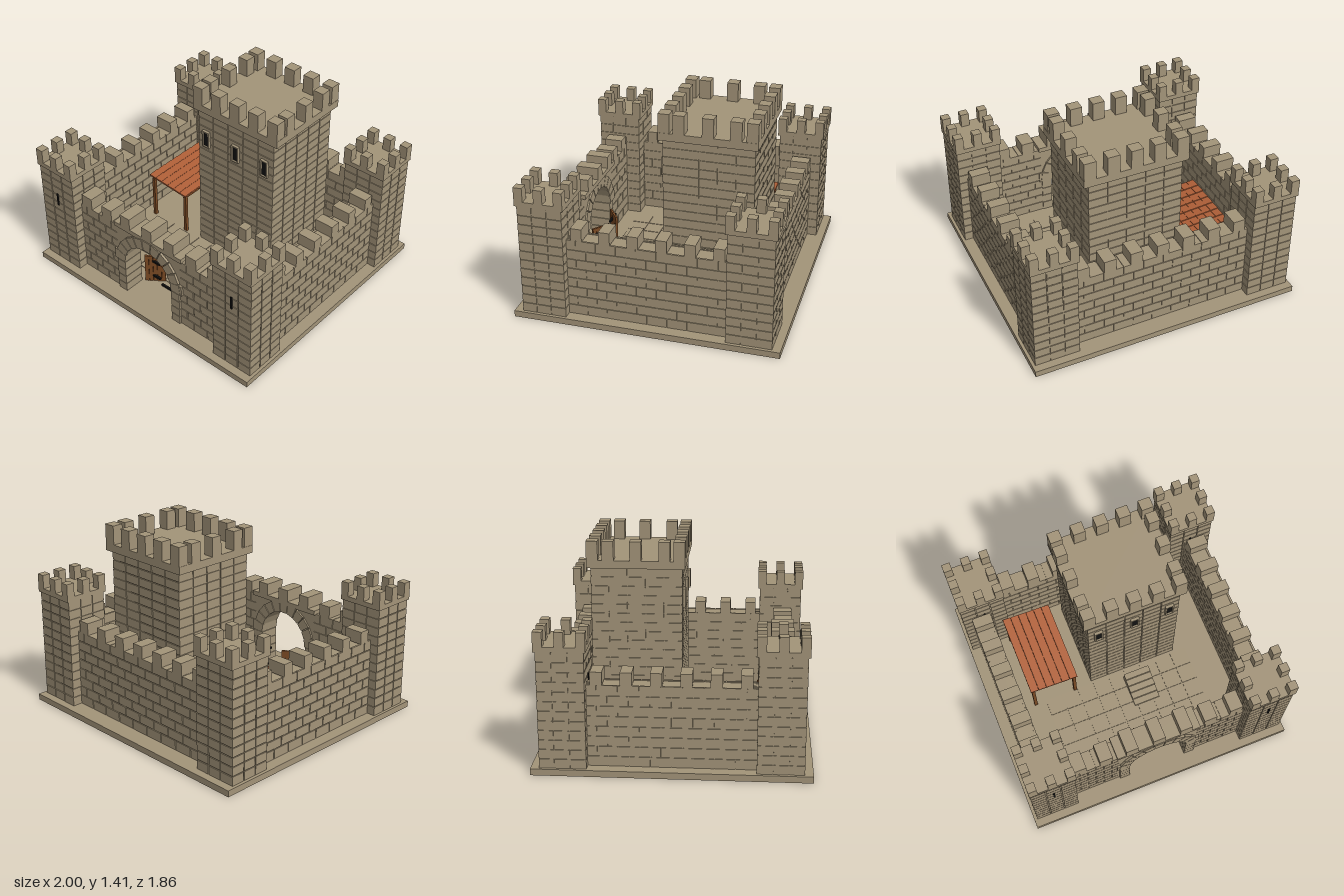
import * as THREE from 'three';
import { mergeGeometries } from 'three/addons/utils/BufferGeometryUtils.js';

const mat = (name, color) => {
  const m = new THREE.MeshStandardMaterial({ color });
  m.name = name;
  return m;
};

// Box geometry from its min and max on each axis
function span(x0, x1, y0, y1, z0, z1) {
  return new THREE.BoxGeometry(x1 - x0, y1 - y0, z1 - z0)
    .translate((x0 + x1) / 2, (y0 + y1) / 2, (z0 + z1) / 2);
}

// Perimeter stone blocks over a recessed core; bond shifts odd courses by half a block
function masonry(x0, x1, y0, y1, z0, z1, nx, ny, nz, bond = '') {
  const e = 0.006, g = 0.003, out = [span(x0 + e, x1 - e, y0, y1 - e, z0 + e, z1 - e)];
  const cuts = (a, b, n, shift) => {
    const c = [a], s = (b - a) / n;
    for (let i = 1; i <= n; i++) {
      const v = a + s * (i - (shift ? 0.5 : 0));
      if (v < b - 1e-6) c.push(v);
    }
    return [...c, b];
  };
  const h = (y1 - y0) / ny;
  for (let j = 0; j < ny; j++) {
    const cx = cuts(x0, x1, nx, bond === 'x' && j % 2), cz = cuts(z0, z1, nz, bond === 'z' && j % 2);
    for (let i = 0; i < cx.length - 1; i++) for (let k = 0; k < cz.length - 1; k++) {
      const edge = i === 0 || k === 0 || i === cx.length - 2 || k === cz.length - 2;
      if (!edge) continue;
      out.push(span(cx[i] + (i ? g : 0), cx[i + 1] - (i < cx.length - 2 ? g : 0),
        y0 + j * h + (j ? g : 0), y0 + (j + 1) * h - (j < ny - 1 ? g : 0),
        cz[k] + (k ? g : 0), cz[k + 1] - (k < cz.length - 2 ? g : 0)));
    }
  }
  return out;
}

export function createModel() {
  const root = new THREE.Group();
  root.name = 'castle';
  const stone = mat('stone', 0xa39479), wood = mat('wood', 0x7a4a24);
  const iron = mat('black iron', 0x121212), tile = mat('roof tile', 0xb06038);

  const add = (name, material, geos, parent = root) => {
    const clean = geos.map((g) => (g.index ? g.toNonIndexed() : g));
    const m = new THREE.Mesh(mergeGeometries(clean), material);
    m.name = name;
    parent.add(m);
    return m;
  };

  // Ground slab and courtyard paving
  const G = 0.045;
  add('base', stone, [span(-1, 1, 0, G, -0.93, 0.93)]);
  const paving = [];
  for (let i = 0; i < 9; i++) for (let k = 0; k < 4; k++) {
    const x = -0.6 + i * 0.128, z = 0.04 + k * 0.13;
    paving.push(span(x + 0.003, x + 0.125, G, G + 0.006, z + 0.003, z + 0.127));
  }
  add('courtyardPaving', stone, paving);

  // Corner towers
  for (const x of [-0.815, 0.815]) for (const z of [-0.715, 0.715]) {
    const tower = new THREE.Group();
    tower.name = 'cornerTower';
    tower.position.set(x, 0, z);
    root.add(tower);
    add('towerBody', stone, masonry(-0.163, 0.163, G, 0.85, -0.157, 0.157, 3, 12, 3), tower);
    const top = [span(-0.17, 0.17, 0.85, 0.885, -0.17, 0.17)];
    for (const i of [-1, 0, 1]) for (const k of [-1, 0, 1]) {
      if (!i && !k) continue;
      top.push(new THREE.BoxGeometry(0.062, 0.1, 0.062).translate(i * 0.139, 0.935, k * 0.139));
    }
    add('towerBattlement', stone, top, tower);
    add('arrowSlit', iron, [span(-0.007, 0.007, 0.56, 0.66, 0.155, 0.163)], tower);
  }

  // Side and back curtain walls with merlons
  const WT = 0.61, MT = 0.7;
  for (const s of [-1, 1]) {
    const xa = s * 0.845 - 0.07, xb = s * 0.845 + 0.07;
    add('sideWall', stone, masonry(xa, xb, G, WT, -0.56, 0.56, 8, 8, 8, 'z').concat());
    const merlons = [];
    for (let i = 0; i < 6; i++) {
      const z = 0.487 - i * 0.196;
      merlons.push(span(xa, xb, WT, MT, z - 0.039, z + 0.039));
    }
    add('sideWallMerlons', stone, merlons);
  }
  add('backWall', stone, masonry(-0.66, 0.66, G, WT, -0.8, -0.665, 9, 8, 1, 'x'));
  const backMerlons = [];
  for (let i = -3; i <= 3; i++) {
    backMerlons.push(span(i * 0.195 - 0.045, i * 0.195 + 0.045, WT, MT, -0.8, -0.665));
  }
  add('backWallMerlons', stone, backMerlons);

  // Front wall halves, gate piers and imposts
  for (const s of [-1, 1]) {
    const box = (a, b, ...r) => span(Math.min(a * s, b * s), Math.max(a * s, b * s), ...r);
    const [a, b] = s < 0 ? [-0.66, -0.295] : [0.295, 0.66];
    add('frontWall', stone, masonry(a, b, G, WT, 0.665, 0.8, 3, 8, 1, 'x'));
    add('frontWallMerlons', stone, [0.395, 0.592].map((x) => box(x - 0.048, x + 0.048, WT, MT, 0.665, 0.8)));
    const pier = [box(0.22, 0.318, 0.317, 0.4, 0.655, 0.815)];
    for (let j = 0; j < 4; j++) {
      pier.push(box(0.22, 0.296, G + j * 0.068, G + (j + 1) * 0.068 - 0.004, 0.66, 0.815));
    }
    add('gatePier', stone, pier);
  }

  // Gatehouse wall above the arched opening
  const spring = 0.32, R = 0.22;
  const sh = new THREE.Shape();
  sh.moveTo(-0.3, spring);
  sh.lineTo(-R, spring);
  sh.absarc(0, spring, R, Math.PI, 0, true);
  sh.lineTo(0.3, spring);
  sh.lineTo(0.3, 0.61);
  sh.lineTo(-0.3, 0.61);
  add('gatehouseWall', stone, [new THREE.ExtrudeGeometry(sh, { depth: 0.135, bevelEnabled: false, curveSegments: 11 })
    .translate(0, 0, 0.665)]);

  // Arch stones
  const arch = [], N = 11;
  for (let i = 0; i < N; i++) {
    const a = (i + 0.04) / N * Math.PI, b = (i + 0.96) / N * Math.PI, ro = 0.305;
    const v = new THREE.Shape([[R, a], [ro, a], [ro, b], [R, b]]
      .map(([r, t]) => new THREE.Vector2(r * Math.cos(t), spring + r * Math.sin(t))));
    arch.push(new THREE.ExtrudeGeometry(v, { depth: 0.165, bevelEnabled: false }).translate(0, 0, 0.652));
  }
  add('gateArch', stone, arch);
  add('gatehouseBattlement', stone, [
    span(-0.315, 0.315, 0.605, 0.64, 0.645, 0.81),
    ...[-0.205, 0, 0.205].map((x) => span(x - 0.045, x + 0.045, 0.64, 0.73, 0.645, 0.81)),
  ]);

  // Half-open plank doors with iron bands
  for (const s of [-1, 1]) {
    const door = new THREE.Group();
    door.name = s < 0 ? 'rightDoor' : 'leftDoor';
    door.position.set(s * 0.14, 0, 0.6);
    door.rotation.y = -s * 0.64;
    root.add(door);
    const planks = [];
    for (let i = 0; i < 5; i++) {
      const x = -0.075 + i * 0.03;
      planks.push(span(x + 0.001, x + 0.029, G + 0.003, s < 0 ? 0.28 : 0.31, -0.008, 0.008));
    }
    add('doorPlanks', wood, planks, door);
    const bands = [0.1, 0.235].map((y) => span(s * 0.148 - 0.068, s * 0.148 + 0.068, y - 0.008, y + 0.008, 0.604, 0.618));
    add('doorBands', iron, bands);
  }
  add('doorPost', iron, [span(0.183, 0.212, G, 0.28, 0.605, 0.618)]);
  add('gateSill', iron, [span(-0.07, 0.04, G, 0.06, 0.6, 0.615)]);

  // Keep with battlements and windows
  add('keepBody', stone, masonry(-0.22, 0.46, G, 1.22, -0.615, 0.022, 5, 18, 5));
  const x0 = -0.255, x1 = 0.5, z0 = -0.64, z1 = 0.043, d = 0.08;
  const keepTop = [span(x0, x1, 1.22, 1.275, z0, z1)];
  for (let i = 0; i < 5; i++) {
    const x = x0 + 0.045 + i * (x1 - x0 - 0.09) / 4;
    keepTop.push(span(x - 0.043, x + 0.043, 1.275, 1.41, z1 - d, z1), span(x - 0.043, x + 0.043, 1.275, 1.41, z0, z0 + d));
  }
  for (const z of [-0.1, -0.3, -0.49]) {
    keepTop.push(span(x0, x0 + d, 1.275, 1.41, z - 0.04, z + 0.04), span(x1 - d, x1, 1.275, 1.41, z - 0.04, z + 0.04));
  }
  add('keepBattlement', stone, keepTop);
  for (const x of [-0.145, 0.125, 0.385]) {
    add('keepWindow', iron, [span(x - 0.021, x + 0.021, 0.935, 1.055, 0.022, 0.03)]);
    add('keepWindowFrame', stone, [
      span(x - 0.031, x - 0.021, 0.93, 1.06, 0.02, 0.042), span(x + 0.021, x + 0.031, 0.93, 1.06, 0.02, 0.042),
      span(x - 0.031, x + 0.031, 1.052, 1.062, 0.02, 0.042), span(x - 0.031, x + 0.031, 0.928, 0.937, 0.02, 0.042),
    ]);
  }

  // Steps in the courtyard
  const steps = [];
  for (let i = 0; i < 5; i++) {
    steps.push(span(0.02, 0.22, G, 0.066 + i * 0.021, 0.1, 0.335 - i * 0.047));
  }
  add('keepSteps', stone, steps);

  // Tiled lean-to roof on timber posts
  const shed = new THREE.Group();
  shed.name = 'shed';
  shed.position.set(-0.517, 0, -0.245);
  root.add(shed);
  const tiles = [];
  for (let i = 0; i < 6; i++) for (let k = 0; k < 8; k++) {
    tiles.push(new THREE.BoxGeometry(0.059, 0.014, 0.079).rotateX(0.08)
      .translate(-0.152 + i * 0.061, 0, -0.266 + k * 0.076));
  }
  const roof = add('shedRoofTiles', tile, tiles, shed);
  roof.position.y = 0.41;
  roof.rotation.z = -0.08;
  const frame = [-0.16, 0.16].map((x) => span(x - 0.012, x + 0.012, 0.365, 0.388, -0.29, 0.29));
  for (const x of [-0.16, 0.16]) for (const z of [-0.28, 0.28]) {
    frame.push(span(x - 0.012, x + 0.012, G, 0.37, z - 0.012, z + 0.012));
  }
  add('shedFrame', wood, frame, shed);

  return root;
}
